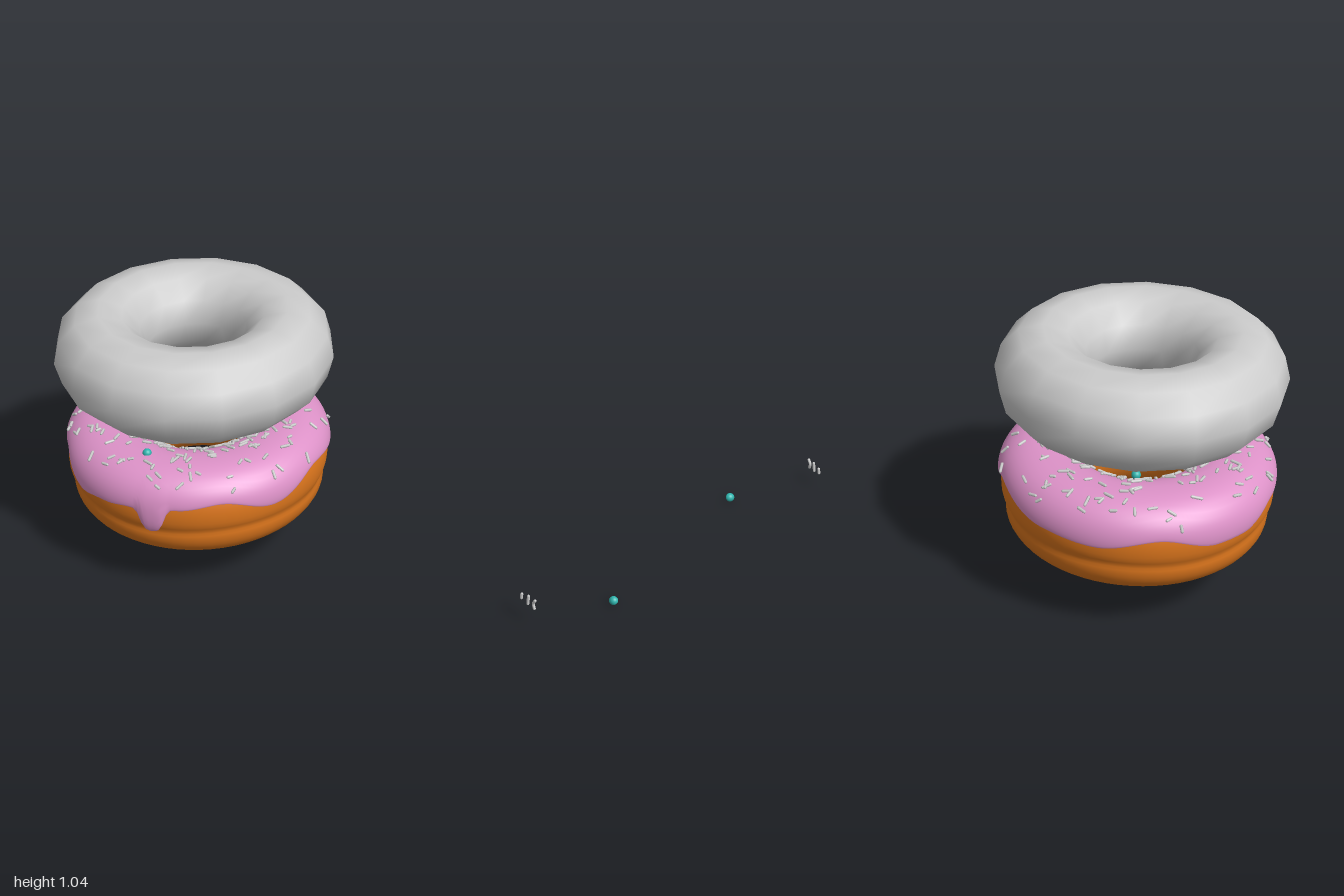
import * as THREE from 'three';
import { mergeGeometries } from 'three/addons/utils/BufferGeometryUtils.js';
import { ParametricGeometry } from 'three/addons/geometries/ParametricGeometry.js';

const CX = -0.445, CZ = 0.23; // shared axis of the rings
const RING = 0.37, ICING_Y = 0.41, A = 0.165, B = 0.15, POWER = 0.85;
const spow = (v, p) => Math.sign(v) * Math.abs(v) ** p;
const rad = THREE.MathUtils.degToRad;

const mat = (color) => new THREE.MeshStandardMaterial({ color });

function seeded(seed) {
  return () => (seed = (seed * 16807) % 2147483647) / 2147483647;
}

// Point of the icing surface: theta around the ring, phi around the tube
function icingPoint(theta, phi, lift, target = new THREE.Vector3()) {
  const r = RING + (A + lift) * spow(Math.cos(phi), POWER);
  const y = ICING_Y + (B + lift) * spow(Math.sin(phi), POWER);
  return target.set(r * Math.cos(theta), y, r * Math.sin(theta));
}

// Wavy lower rim of the icing: [degrees, height]
const RIM = [[0, 0.41], [24, 0.465], [42, 0.445], [62, 0.43], [76, 0.415], [90, 0.40],
  [113, 0.48], [133, 0.47], [154, 0.45], [176, 0.40], [190, 0.40], [214, 0.45],
  [240, 0.41], [264, 0.42], [297, 0.465], [308, 0.445], [334, 0.47], [360, 0.41]];

const dripAt = (deg) => Math.exp(-(((deg - 53) / 5.5) ** 4));

function rimHeight(deg) {
  let i = 0;
  while (i < RIM.length - 2 && deg > RIM[i + 1][0]) i++;
  const [d0, y0] = RIM[i], [d1, y1] = RIM[i + 1];
  const t = THREE.MathUtils.smoothstep(deg, d0, d1);
  return y0 + (y1 - y0) * t - 0.09 * dripAt(deg);
}

const phiAt = (y) => Math.asin(spow((y - ICING_Y) / B, 1 / POWER));

function icingGeometry() {
  return new ParametricGeometry((u, v, target) => {
    const theta = (1 - u) * Math.PI * 2, deg = (1 - u) * 360;
    const start = phiAt(rimHeight(deg));
    const end = Math.PI - phiAt(0.445 + 0.03 * Math.sin(theta * 3 + 1) + 0.015 * Math.sin(theta * 5));
    // closed section with rounded lips
    const s = Math.sin(v * Math.PI * 2), c = Math.cos(v * Math.PI * 2);
    const phi = (start + end) / 2 - c * (end - start) / 2;
    const bulge = phi < 0.3 ? 0.008 * dripAt(deg) : 0;
    icingPoint(theta, phi, spow(s, 0.35) * 0.015 + bulge, target);
  }, 200, 48);
}

function doughGeometry() {
  const profile = [[0.37, 0.195], [0.425, 0.196], [0.47, 0.214], [0.503, 0.255], [0.514, 0.295],
    [0.512, 0.325], [0.525, 0.36], [0.528, 0.41], [0.518, 0.46], [0.49, 0.515], [0.44, 0.545],
    [0.37, 0.555], [0.29, 0.54], [0.235, 0.49], [0.207, 0.42], [0.205, 0.35], [0.228, 0.27],
    [0.28, 0.215], [0.33, 0.197]].map(([r, y]) => new THREE.Vector3(r, y, 0));
  const curve = new THREE.CatmullRomCurve3(profile, true);
  const points = curve.getPoints(48).map((p) => new THREE.Vector2(p.x, p.y));
  const geometry = new THREE.LatheGeometry(points, 64);
  // slight unevenness along the waist crease
  const pos = geometry.attributes.position;
  for (let i = 0; i < pos.count; i++) {
    const x = pos.getX(i), y = pos.getY(i), z = pos.getZ(i);
    const waist = Math.exp(-(((y - 0.32) / 0.03) ** 2)) * (Math.hypot(x, z) > RING ? 1 : 0);
    const k = 1 - waist * 0.008 * (1 + Math.sin(Math.atan2(z, x) * 5));
    pos.setXYZ(i, x * k, y, z * k);
  }
  return geometry;
}

// Sprinkles lying on the icing in random directions
function sprinklesGeometry(count) {
  const random = seeded(41), up = new THREE.Vector3(0, 1, 0), parts = [];
  for (let i = 0; i < count; i++) {
    const theta = random() * Math.PI * 2;
    const phi = rad(22 + 125 * Math.sqrt(random()));
    const p = icingPoint(theta, phi, 0.018);
    const around = new THREE.Vector3(-Math.sin(theta), 0, Math.cos(theta));
    const across = icingPoint(theta, phi + 0.02, 0.018).sub(icingPoint(theta, phi - 0.02, 0.018)).normalize();
    const turn = random() * Math.PI;
    const dir = around.multiplyScalar(Math.cos(turn)).addScaledVector(across, Math.sin(turn)).normalize();
    const g = new THREE.CapsuleGeometry(0.006, 0.015 + 0.022 * random(), 2, 6);
    g.applyQuaternion(new THREE.Quaternion().setFromUnitVectors(up, dir));
    parts.push(g.translate(p.x, p.y, p.z));
  }
  return mergeGeometries(parts);
}

export function createModel() {
  const model = new THREE.Group();
  const grey = mat(0xcccccc), teal = mat(0x2fb5ae);
  const add = (name, geometry, material, x, y, z) => {
    const mesh = new THREE.Mesh(geometry, material);
    mesh.name = name;
    mesh.position.set(x, y, z);
    model.add(mesh);
    return mesh;
  };

  // Iced doughnut
  add('dough', doughGeometry(), mat(0xd9741c), CX, 0, CZ);
  add('icing', icingGeometry(), mat(0xdd92c8), CX, 0, CZ);
  add('sprinkles', sprinklesGeometry(330), grey, CX, 0, CZ);

  // Plain ring floating above
  const ring = new THREE.TorusGeometry(0.372, 0.183, 12, 16).rotateX(Math.PI / 2);
  add('plainRing', ring, grey, CX, 0.863, CZ);

  // Small balls: two on the icing, one loose
  const ball = new THREE.SphereGeometry(0.018, 20, 14);
  [[-0.29, 0.575, 0.565], [-0.63, 0.57, 0.045], [0.98, 0.02, -0.775]]
    .forEach((p) => add('ball', ball, teal, ...p));

  // Loose sprinkles: short, long and bent
  add('shortSprinkle', new THREE.CapsuleGeometry(0.006, 0.02, 3, 8), grey, 0.81, 0.097, -0.433);
  add('longSprinkle', new THREE.CapsuleGeometry(0.006, 0.037, 3, 8), grey, 0.847, 0.1, -0.433);
  const bend = new THREE.CatmullRomCurve3([[0.005, 0.019], [-0.003, 0], [0.005, -0.019]]
    .map(([x, y]) => new THREE.Vector3(x, y, 0)));
  const tips = [0, 1].map((t) => {
    const p = bend.getPoint(t);
    return new THREE.SphereGeometry(0.006, 8, 6).translate(p.x, p.y, p.z);
  });
  add('bentSprinkle', mergeGeometries([new THREE.TubeGeometry(bend, 8, 0.006, 8), ...tips]),
    grey, 0.879, 0.1, -0.433);
  return model;
}
